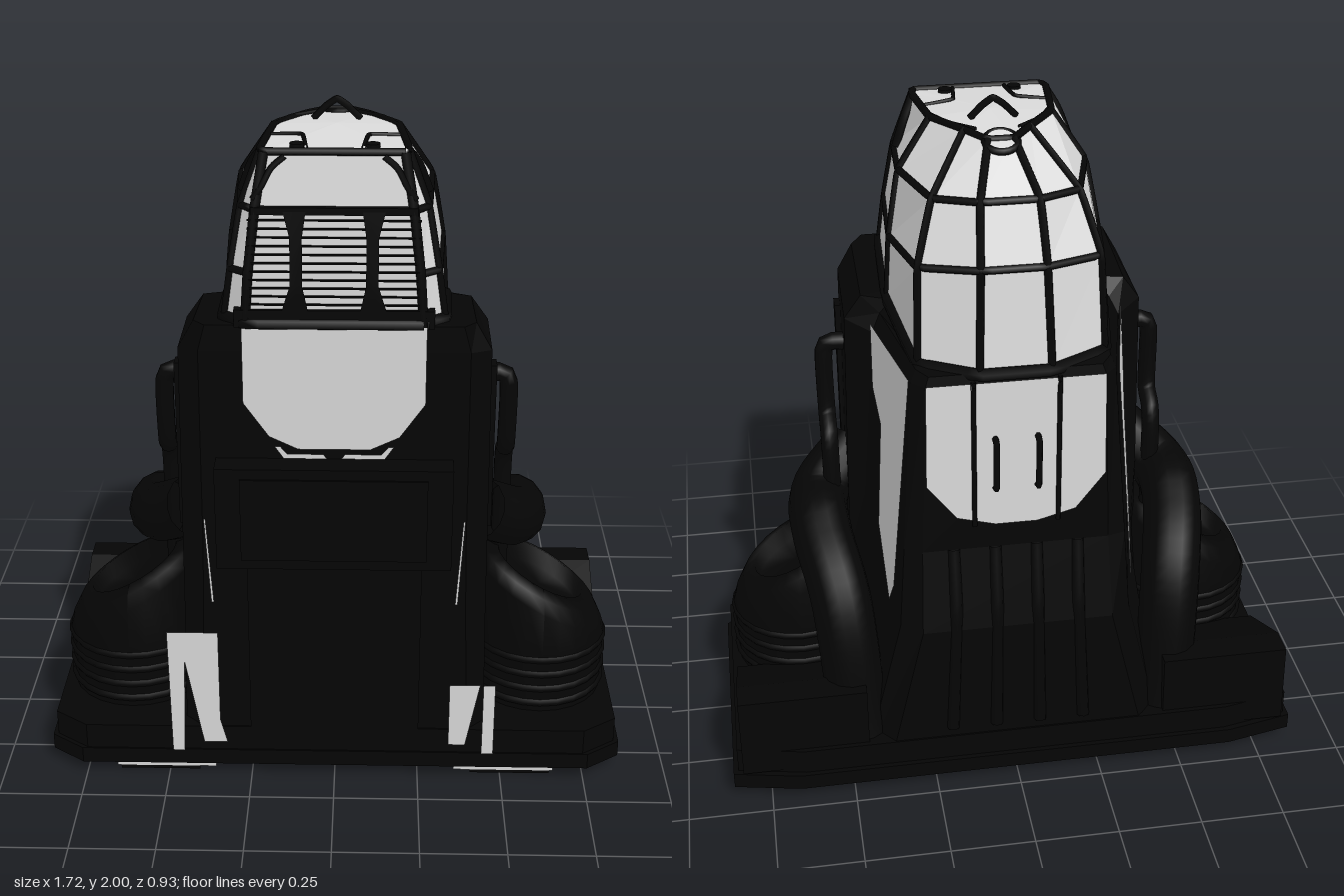
import * as THREE from 'three';

const black = new THREE.MeshStandardMaterial({ color: 0x050505, side: THREE.DoubleSide });
const light = new THREE.MeshStandardMaterial({ color: 0xdadada, side: THREE.DoubleSide });
black.name = 'black hull';
light.name = 'light panel';

export function createModel() {
  const model = new THREE.Group();
  const V = (x, y, z) => new THREE.Vector3(x, y, z);

  function add(name, geo, mat, x = 0, y = 0, z = 0) {
    const m = new THREE.Mesh(geo, mat);
    m.name = name;
    m.position.set(x, y, z);
    model.add(m);
    return m;
  }
  const box = (name, w, h, d, x, y, z, mat = black) => add(name, new THREE.BoxGeometry(w, h, d), mat, x, y, z);

  function tube(name, pts, r, sides = 6, tension = 0.15) {
    const curve = new THREE.CatmullRomCurve3(pts.map(p => V(...p)), false, 'catmullrom', tension);
    return add(name, new THREE.TubeGeometry(curve, pts.length * 6, r, sides), black);
  }

  const shapeOf = pts => new THREE.Shape(pts.map(p => new THREE.Vector2(...p)));

  // Flat panel whose points (a, b) are placed by a rule
  function panel(name, pts, place, mat = light) {
    const g = new THREE.ShapeGeometry(shapeOf(pts));
    const p = g.attributes.position;
    for (let i = 0; i < p.count; i++) p.setXYZ(i, ...place(p.getX(i), p.getY(i)));
    g.computeVertexNormals();
    return add(name, g, mat);
  }

  // Close a half section of [x, y, z] points across x = 0
  const ring = half => [...half, ...half.map(([x, y, z]) => [-x, y, z]).reverse()];

  // Faceted skin between closed sections
  function loft(rows) {
    const out = [];
    for (let r = 0; r < rows.length - 1; r++) {
      const n = rows[r].length;
      for (let k = 0; k < n; k++) {
        const j = (k + 1) % n;
        const a = rows[r][k], b = rows[r][j], c = rows[r + 1][j], d = rows[r + 1][k];
        out.push(...a, ...b, ...c, ...a, ...c, ...d);
      }
    }
    const g = new THREE.BufferGeometry();
    g.setAttribute('position', new THREE.Float32BufferAttribute(out, 3));
    g.computeVertexNormals();
    return g;
  }

  // Main body, with a light lining inside
  const at = (y, pts) => ring(pts.map(([x, z]) => [x, y, z]));
  const bodyRows = [
    at(0.05, [[0.40, 0.38], [0.45, 0.33], [0.47, 0.02], [0.48, -0.06], [0.46, -0.38], [0.40, -0.45]]),
    at(0.55, [[0.38, 0.38], [0.44, 0.33], [0.45, 0.04], [0.42, -0.04], [0.34, -0.38], [0.28, -0.43]]),
    at(0.80, [[0.374, 0.38], [0.437, 0.33], [0.447, 0.04], [0.401, -0.034], [0.322, -0.364], [0.27, -0.378]]),
    ring([[0.37, 1.38, 0.38], [0.43, 1.37, 0.33], [0.435, 1.35, 0.04], [0.36, 1.33, -0.02], [0.285, 1.33, -0.33], [0.25, 1.33, -0.365]]),
    ring([[0.35, 1.455, 0.38], [0.385, 1.45, 0.33], [0.385, 1.42, 0.04], [0.335, 1.38, 0], [0.27, 1.365, -0.32], [0.24, 1.36, -0.36]]),
    ring([[0.23, 1.46, 0.36], [0.29, 1.46, 0.32], [0.30, 1.43, 0.04], [0.30, 1.42, 0], [0.25, 1.37, -0.29], [0.1, 1.36, -0.35]])
  ];
  add('body', loft(bodyRows), black);
  add('bodyLining', loft(bodyRows.slice(0, 5).map(r => r.map(([x, y, z]) => [x * 0.95, y * 0.99, z * 0.95]))), light);

  // Cabin dome: light panes and dark ribs along the same grid
  const dome = [
    [[0.24, 1.46, 0.375], [0.30, 1.46, 0.33], [0.31, 1.42, 0.02], [0.26, 1.365, -0.29], [0.10, 1.355, -0.36]],
    [[0.23, 1.60, 0.37], [0.28, 1.60, 0.33], [0.297, 1.605, 0.03], [0.25, 1.635, -0.25], [0.09, 1.645, -0.32]],
    [[0.21, 1.77, 0.355], [0.25, 1.77, 0.31], [0.263, 1.79, 0.06], [0.20, 1.80, -0.18], [0.08, 1.81, -0.25]],
    [[0.185, 1.92, 0.33], [0.195, 1.92, 0.30], [0.17, 1.93, 0.08], [0.09, 1.93, -0.03], [0.035, 1.925, -0.10]]
  ].map(ring);
  add('cabinPanes', loft([...dome, dome[3].map(() => [0, 1.938, 0.1])]), light);
  dome.forEach((row, r) => {
    const path = r === 1 ? row : [...row, row[0]];
    tube('cabinHoopRib', path, r === 0 ? 0.02 : 0.011, 6, 0.02);
  });
  for (let k = 0; k < 10; k++) tube('cabinUprightRib', dome.map(r => r[k]), k % 9 === 0 ? 0.015 : 0.011, 6, 0.1);

  // Front window: sill, posts and louvres
  const frontZ = y => 0.384 - Math.max(0, y - 1.6) * 0.1;
  box('windowSill', 0.54, 0.05, 0.03, 0, 1.475, 0.37);
  box('windowHeader', 0.44, 0.02, 0.03, 0, 1.77, 0.355);
  for (let i = 0; i < 11; i++) {
    const y = 1.515 + i * 0.023;
    box('louvre', 0.46, 0.004, 0.008, 0, y, frontZ(y) - 0.004);
  }
  for (const s of [-1, 1]) {
    panel('windowPost', [[0.07, 1.5], [0.14, 1.5], [0.118, 1.57], [0.118, 1.7], [0.135, 1.77], [0.075, 1.77], [0.085, 1.7], [0.085, 1.57]],
      (x, y) => [s * x, y, frontZ(y) + 0.004], black);
    tube('browCorner', [[s * 0.215, 1.8, 0.357], [s * 0.19, 1.835, 0.353], [s * 0.165, 1.88, 0.345], [s * 0.13, 1.91, 0.338]], 0.009, 6, 0.5);
    tube('browCorner', [[s * 0.195, 1.915, 0.29], [s * 0.222, 1.87, 0.25], [s * 0.252, 1.79, 0.23]], 0.012, 6, 0.5);
    // Roof seams
    tube('roofSeam', [[s * 0.17, 1.933, 0.1], [s * 0.13, 1.935, 0.02], [s * 0.06, 1.934, -0.04]], 0.006);
    tube('roofSeam', [[s * 0.19, 1.925, 0.18], [s * 0.09, 1.933, 0.2], [s * 0.075, 1.926, 0.31]], 0.006);
    add('roofStud', new THREE.CylinderGeometry(0.02, 0.02, 0.012, 10), black, s * 0.1, 1.927, 0.29);
  }
  const cap = add('roofRing', new THREE.TorusGeometry(0.045, 0.01, 6, 20), black, 0, 1.918, -0.1);
  cap.rotation.x = Math.PI / 2 - 0.3;
  const lid = add('roofCap', new THREE.CylinderGeometry(0.042, 0.042, 0.02, 20), light, 0, 1.916, -0.1);
  lid.rotation.x = -0.3;
  tube('roofLoop', [[-0.065, 1.935, 0.04], [-0.03, 1.97, 0.04], [0, 1.99, 0.04], [0.03, 1.97, 0.04], [0.065, 1.935, 0.04]], 0.01);

  // Front bib, chest unit and lower openings
  panel('frontBib', [[-0.25, 1.455], [-0.25, 1.23], [-0.18, 1.13], [-0.1, 1.092], [0.1, 1.092], [0.18, 1.13], [0.25, 1.23], [0.25, 1.455]],
    (x, y) => [x, y, 0.387]);
  box('chestUnit', 0.66, 0.31, 0.08, 0, 0.905, 0.415);
  box('chestUnitFace', 0.52, 0.25, 0.012, 0, 0.905, 0.455);
  box('frontDoor', 0.5, 0.56, 0.01, 0, 0.44, 0.383);
  const front = (x, y) => [x, y, 0.392];
  panel('rightOpening', [[-0.49, 0.5], [-0.34, 0.5], [-0.34, 0.2], [-0.32, 0.12], [-0.39, 0.12], [-0.44, 0.4], [-0.45, 0.09], [-0.485, 0.09]], front);
  panel('leftOpening', [[0.34, 0.33], [0.43, 0.33], [0.39, 0.12], [0.34, 0.12]], front);
  panel('leftOpeningStrip', [[0.44, 0.33], [0.475, 0.33], [0.475, 0.09], [0.44, 0.09]], front);

  // Back panel with seams
  const backZ = y => -0.365 - 0.0245 * (1.33 - y);
  panel('backPanel', [[-0.25, 1.335], [-0.255, 1.02], [-0.17, 0.91], [-0.06, 0.88], [0.06, 0.88], [0.17, 0.91], [0.255, 1.02], [0.25, 1.335]],
    (x, y) => [x, y, backZ(y) - 0.007]);
  for (const x of [-0.12, 0.12]) tube('backSeam', [[x, 1.34, backZ(1.34) - 0.008], [x, 0.88, backZ(0.88) - 0.008]], 0.007);

  // Base plinth with a central opening
  const outline = (w, zf, zb) => [[-w + 0.1, zf], [w - 0.1, zf], [w, zf - 0.07], [w, zb + 0.04],
    [w - 0.2, zb], [-w + 0.2, zb], [-w, zb + 0.04], [-w, zf - 0.07]];
  function plinth(name, w, zf, zb, top, h) {
    const s = shapeOf(outline(w, zf, zb));
    s.holes.push(new THREE.Path([[-0.41, 0.33], [-0.41, -0.06], [-0.33, -0.28], [-0.18, -0.39], [0.18, -0.39], [0.33, -0.28], [0.41, -0.06], [0.41, 0.33]]
      .map(p => new THREE.Vector2(...p))));
    const g = new THREE.ExtrudeGeometry(s, { depth: h, bevelEnabled: false });
    g.rotateX(Math.PI / 2);
    add(name, g, black, 0, top, 0);
  }
  plinth('baseFlange', 0.86, 0.39, -0.465, 0.09, 0.05);
  plinth('basePlinth', 0.845, 0.385, -0.45, 0.17, 0.08);

  // Parts repeated on both sides
  for (const s of [-1, 1]) {
    // Light side panel following the tapering rear flank
    panel('sidePanel', [[-0.025, 1.36], [-0.07, 1.18], [-0.15, 1.1], [-0.18, 0.78], [-0.3, 0.59], [-0.33, 0.66], [-0.335, 1.34]], (z, y) => {
      const t = (y - 0.55) / 0.78;
      const f = (-0.04 + 0.02 * t - z) / (0.34 - 0.03 * t);
      return [s * (0.42 - 0.06 * t - f * (0.08 - 0.005 * t) + 0.009), y, z];
    });
    panel('frontSlit', [[0.365, 0.87], [0.37, 0.87], [0.355, 0.6], [0.348, 0.6]], (x, y) => [s * x, y, 0.386]);
    panel('bibTrim', [[0.02, 1.063], [0.14, 1.063], [0.165, 1.1], [0.15, 1.1], [0.13, 1.077], [0.03, 1.077]], (x, y) => [s * x, y, 0.387]);

    // Ribbed side drum whose collar tilts outward
    const profile = [[0.2, 0.1], [0.205, 0.36], [0.195, 0.5], [0.17, 0.54], [0.13, 0.555], [0.115, 0.5], [0, 0.5]];
    const drum = new THREE.LatheGeometry(profile.map(p => new THREE.Vector2(...p)), 24);
    const dp = drum.attributes.position;
    for (let i = 0; i < dp.count; i++) {
      const lift = Math.min(1, Math.max(0, (dp.getY(i) - 0.36) / 0.12));
      dp.setY(i, dp.getY(i) - 0.55 * s * dp.getX(i) * lift);
    }
    drum.computeVertexNormals();
    add('sideDrum', drum, black, s * 0.62, 0, 0.08);
    for (let i = 0; i < 4; i++) {
      const fin = add('drumFin', new THREE.TorusGeometry(0.2, 0.012, 6, 24), black, s * 0.62, 0.2 + i * 0.05, 0.08);
      fin.rotation.x = Math.PI / 2;
    }

    // Rear wedge box
    const wedge = new THREE.ExtrudeGeometry(shapeOf([[-0.08, 0.1], [-0.08, 0.22], [-0.34, 0.35], [-0.425, 0.35], [-0.44, 0.1]]),
      { depth: 0.38, bevelEnabled: false });
    wedge.rotateY(-Math.PI / 2);
    add('rearWedge', wedge, black, s > 0 ? 0.83 : -0.45, 0, 0);

    // Large hose and thin pipe
    tube('largeHose', [[s * 0.42, 0.82, 0.2], [s * 0.53, 0.74, 0.09], [s * 0.54, 0.7, -0.07], [s * 0.5, 0.55, -0.25], [s * 0.47, 0.15, -0.34]], 0.09, 14, 0.5);
    tube('sidePipe', [[s * 0.42, 1.225, 0.14], [s * 0.475, 1.225, 0.14], [s * 0.495, 1.19, 0.14], [s * 0.495, 1.0, 0.13], [s * 0.495, 0.92, 0.06], [s * 0.495, 0.5, 0.04]], 0.027, 10, 0.4);
    box('flankRib', 0.02, 0.5, 0.05, s * 0.44, 1.05, 0.25);

    // Back handle and lower back ribs
    const hz = backZ(1.08);
    tube('backHandle', [[s * 0.06, 1.16, hz], [s * 0.06, 1.15, hz - 0.03], [s * 0.06, 1.01, hz - 0.03], [s * 0.06, 1.0, hz]], 0.009);
    for (const x of [0.06, 0.18]) tube('lowerBackRib', [[s * x, 0.8, -0.37], [s * x, 0.6, -0.415], [s * x * 1.1, 0.2, -0.44]], 0.02, 8);

    // Underside plates and feet
    box('undersideRearPlate', 0.4, 0.006, 0.28, s * 0.63, 0.037, -0.28, light);
    box('undersideFrontPlate', 0.36, 0.006, 0.25, s * 0.61, 0.037, 0.23, light);
    box('footPlate', 0.3, 0.02, 0.03, s * 0.51, 0.022, 0.35, light);
    box('footPad', 0.24, 0.012, 0.025, s * 0.53, 0.006, 0.35, black);
  }
  return model;
}
